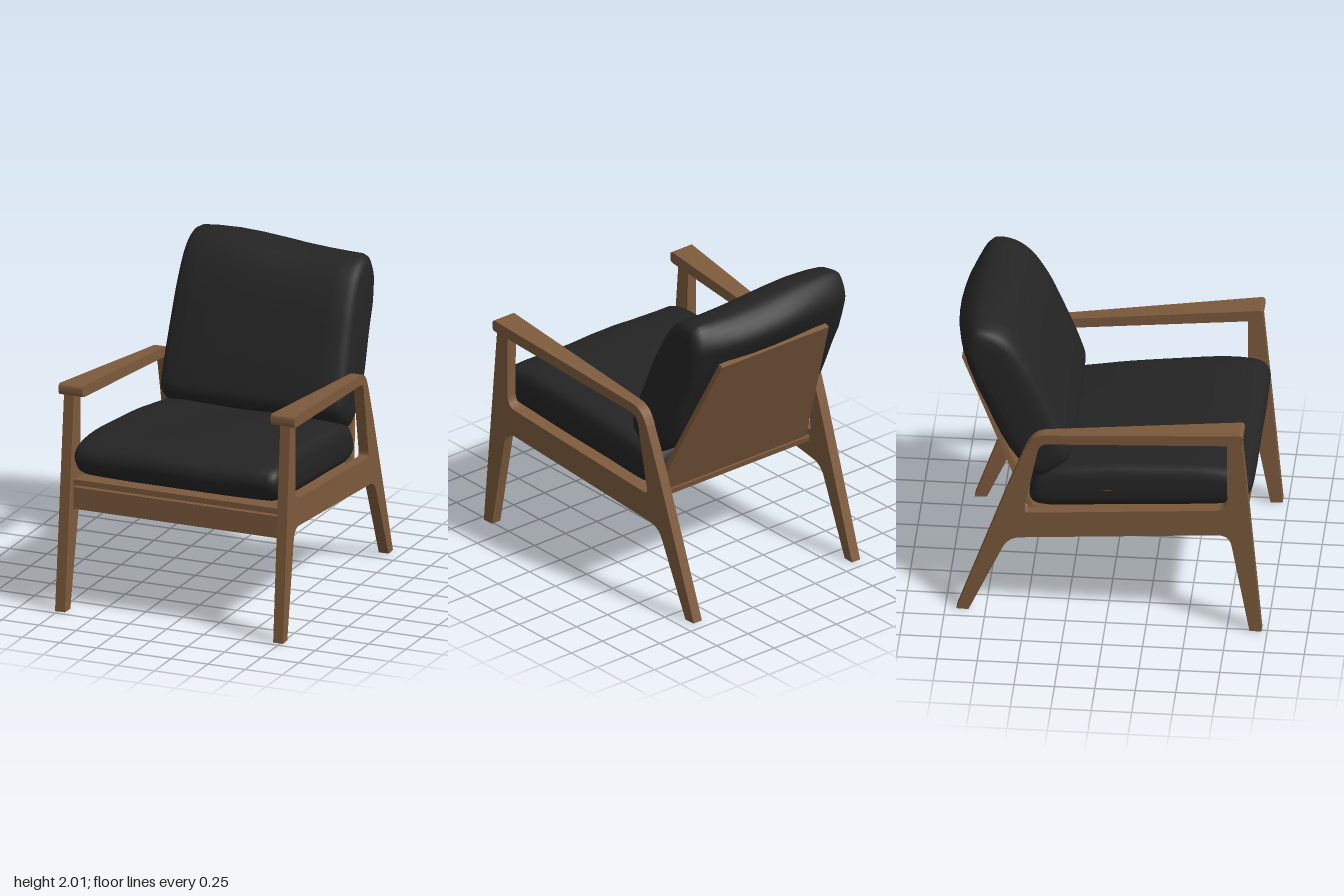
import * as THREE from 'three';
import { toCreasedNormals } from 'three/addons/utils/BufferGeometryUtils.js';

const wood = new THREE.MeshStandardMaterial({ color: 0x7d5a3c });
wood.name = 'wood';
const fabric = new THREE.MeshStandardMaterial({ color: 0x242424 });
fabric.name = 'black fabric';

// Polygon of [z, y, cornerRadius] with rounded corners
function roundedShape(points) {
  const shape = new THREE.Shape();
  const n = points.length;
  points.forEach(([z, y, r = 0], i) => {
    const p = new THREE.Vector2(z, y);
    const toward = (q) => new THREE.Vector2(q[0], q[1]).sub(p).setLength(r).add(p);
    const a = r ? toward(points[(i + n - 1) % n]) : p;
    if (i === 0) shape.moveTo(a.x, a.y);
    else shape.lineTo(a.x, a.y);
    if (r) {
      const b = toward(points[(i + 1) % n]);
      shape.quadraticCurveTo(z, y, b.x, b.y);
    }
  });
  shape.closePath();
  return shape;
}

// Side profile extruded across x; centre and width may vary with z and y
function slab(name, points, centre, width) {
  const geo = new THREE.ExtrudeGeometry(roundedShape(points), { depth: 1, bevelEnabled: false, curveSegments: 8 });
  const pos = geo.attributes.position;
  for (let i = 0; i < pos.count; i++) {
    const z = pos.getX(i), y = pos.getY(i), t = pos.getZ(i);
    pos.setXYZ(i, centre(z, y) + (0.5 - t) * width(z, y), y, z);
  }
  const mesh = new THREE.Mesh(toCreasedNormals(geo, 0.5), wood);
  mesh.name = name;
  return mesh;
}

// Pillow: closed [z, y] profile swept across x, its thickness closing at both ends
function cushion(name, points, { mid, dir, thick, length, halfWidth, warp }) {
  const curve = new THREE.CatmullRomCurve3(points.map(([z, y]) => new THREE.Vector3(0, y, z)), true);
  const ring = 56;
  const profile = curve.getPoints(ring).slice(0, ring);
  const half = [[1, 1], [1, 0.6], [0.988, 0.35], [0.96, 0.15], [0.9, 0.05], [0.75, 0.02], [0.5, 0], [0.25, 0]];
  const stations = [...half.map(([s, f]) => [-s, f]), [0, 0], ...half.slice().reverse()];
  const [dz, dy] = dir.map((c) => c / Math.hypot(...dir));
  const verts = [], index = [];
  stations.forEach(([s, f], i) => {
    profile.forEach((p, j) => {
      const oz = p.z - mid[0], oy = p.y - mid[1];
      const along = (oz * dz + oy * dy) * (1 - f * thick / length);
      const across = (oy * dz - oz * dy) * (1 - f);
      const z = mid[0] + along * dz - across * dy;
      const y = mid[1] + along * dy + across * dz;
      const v = new THREE.Vector3(s * halfWidth(z, y), y, z);
      warp(v);
      verts.push(v.x, v.y, v.z);
      if (i < stations.length - 1) {
        const k = (j + 1) % ring, a = i * ring, b = a + ring;
        index.push(a + j, b + j, b + k, a + j, b + k, a + k);
      }
    });
  });
  const geo = new THREE.BufferGeometry();
  geo.setAttribute('position', new THREE.Float32BufferAttribute(verts, 3));
  geo.setIndex(index);
  geo.computeVertexNormals();
  const mesh = new THREE.Mesh(geo, fabric);
  mesh.name = name;
  return mesh;
}

export function createModel() {
  const chair = new THREE.Group();
  chair.name = 'armchair';

  // The side frames converge toward the back
  const frameX = (z) => 0.684 + 0.0525 * z;
  const innerWidth = (z) => 2 * (frameX(z) - 0.033);
  const middle = () => 0;

  // Side frame: front leg, side rail and raked rear leg in one piece
  const framePoints = [
    [0.965, 0], [0.843, 1.38], [0.75, 1.38], [0.753, 0.868, 0.08], [-0.515, 0.738, 0.04],
    [-0.425, 1.2], [-0.505, 1.2], [-0.6, 0.95], [-0.93, 0], [-0.855, 0],
    [-0.61, 0.548, 0.08], [0.765, 0.69, 0.08], [0.89, 0],
  ];
  // Armrest: wide at the front, narrowing into the elbow above the rear leg
  const armPoints = [
    [0.85, 1.443, 0.025], [-0.45, 1.31, 0.08], [-0.505, 1.2], [-0.425, 1.2],
    [-0.405, 1.25, 0.04], [0.85, 1.37, 0.025],
  ];
  for (const [label, side] of [['left', 1], ['right', -1]]) {
    chair.add(slab(`${label}SideFrame`, framePoints, (z) => side * frameX(z), () => 0.066));
    chair.add(slab(`${label}Armrest`, armPoints,
      (z) => side * (0.658 + 0.0425 * (z + 0.48)), (z) => 0.068 + 0.07 * (z + 0.48)));
  }

  // Front rail, seat board and tapered back board between the frames
  chair.add(slab('frontRail', [[0.85, 0.64], [0.85, 0.782], [0.785, 0.782], [0.785, 0.64]], middle, innerWidth));
  chair.add(slab('seatBoard', [[0.85, 0.795], [0.85, 0.832], [-0.5, 0.7], [-0.49, 0.663]], middle, innerWidth));
  chair.add(slab('backBoard', [[-0.885, 1.7], [-0.917, 1.688], [-0.472, 0.67], [-0.44, 0.684]],
    middle, (z, y) => 2 * (0.61 - 0.18 * (y - 0.68))));

  // Seat cushion
  chair.add(cushion('seatCushion', [
    [0.84, 0.87], [0.905, 0.98], [0.87, 1.06], [0.72, 1.1], [0.3, 1.085], [-0.1, 1.05],
    [-0.42, 0.98], [-0.48, 0.88], [-0.49, 0.77], [-0.44, 0.735], [0, 0.765], [0.6, 0.825],
  ], {
    mid: [0.2, 0.92], dir: [1, 0.09], thick: 0.13, length: 0.7,
    halfWidth: (z) => 0.646 + 0.0525 * z,
    warp: (v) => { if (v.y > 0.9) v.y += 0.006 * Math.sin(v.x * 9 + v.z * 3); },
  }));

  // Back cushion, slightly slumped toward one top corner
  chair.add(cushion('backCushion', [
    [-0.31, 1.0], [-0.232, 1.09], [-0.26, 1.22], [-0.375, 1.53], [-0.47, 1.75], [-0.59, 1.93],
    [-0.71, 1.995], [-0.84, 1.99], [-0.955, 1.86], [-0.92, 1.75], [-0.8, 1.53], [-0.6, 1.1], [-0.42, 0.935],
  ], {
    mid: [-0.6, 1.48], dir: [-0.42, 1], thick: 0.18, length: 0.55,
    halfWidth: () => 0.625,
    warp: (v) => {
      const h = Math.max(0, (v.y - 1.2) / 0.8);
      v.y -= h * (0.018 + 0.022 * Math.sin(v.x * 4.2));
      v.z += (v.z < -0.8 ? (-0.8 - v.z) * 1.1 * (v.x / 0.6) ** 2 * 0.4 : 0) + 0.02 * h * v.x;
      v.x *= 1 - h * (v.x > 0 ? 0.07 : 0.015);
    },
  }));
  return chair;
}
